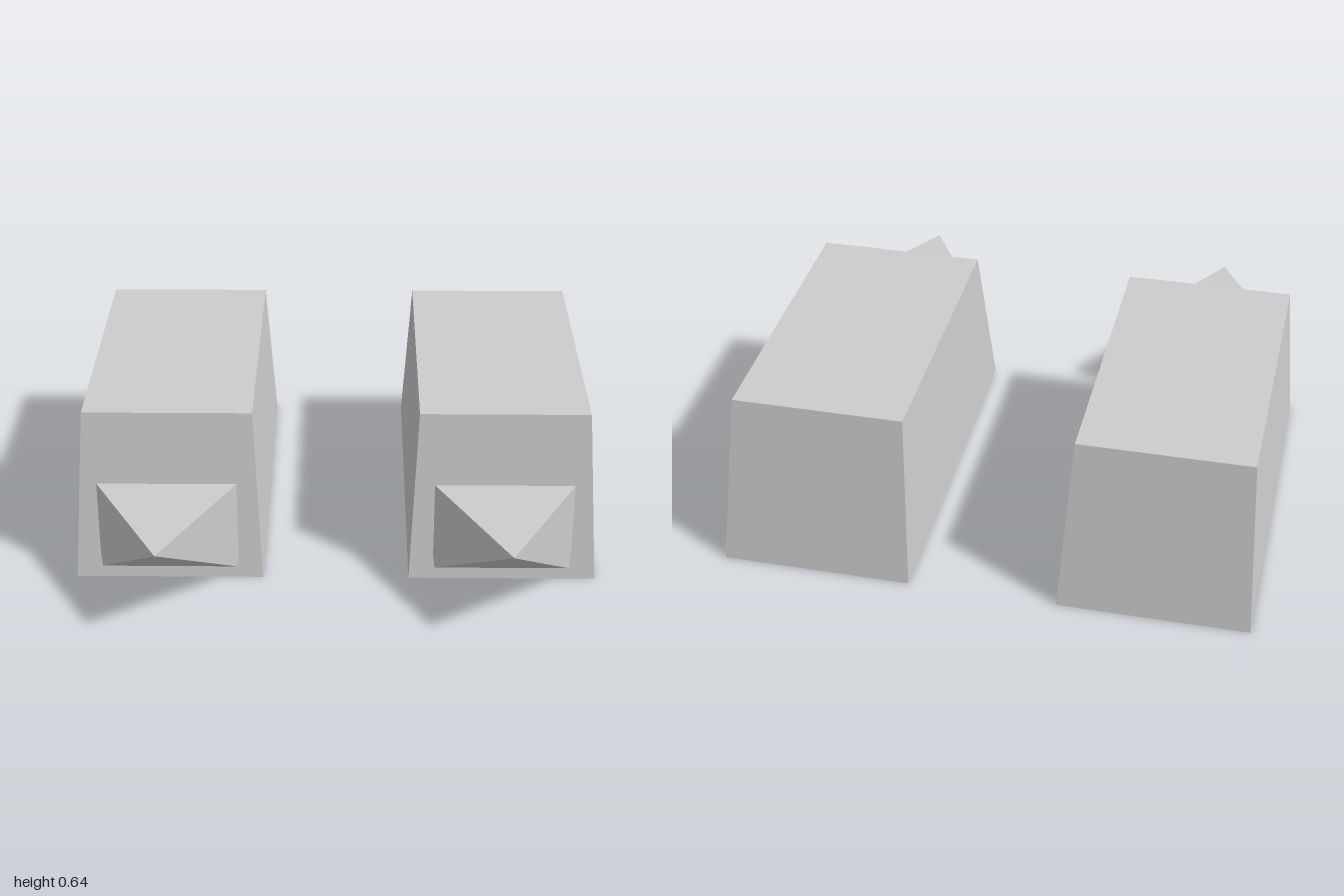
import * as THREE from 'three';

const grey = new THREE.MeshStandardMaterial({ color: 0xcccccc, flatShading: true });
grey.name = 'light grey';

// Move every vertex of a geometry by a rule, then facet it
function reshape(geometry, rule) {
  const pos = geometry.attributes.position;
  const v = new THREE.Vector3();
  for (let i = 0; i < pos.count; i++) {
    rule(v.fromBufferAttribute(pos, i));
    pos.setXYZ(i, v.x, v.y, v.z);
  }
  const faceted = geometry.toNonIndexed();
  faceted.computeVertexNormals();
  return faceted;
}

// Block that narrows towards its top, with steeper sides than ends
function bodyGeometry() {
  return reshape(new THREE.BoxGeometry(1, 1, 1), (v) => {
    const top = v.y > 0;
    const front = top ? 0.35 : 0.49;
    const back = top ? -0.804 : -0.946;
    v.set(v.x * (top ? 0.647 : 0.718), top ? 0.64 : 0, v.z > 0 ? front : back);
  });
}

// Four-sided spike with its tip pushed up near the upper edge
function spikeGeometry() {
  const cone = new THREE.ConeGeometry(Math.SQRT1_2, 1, 4, 1);
  cone.rotateY(Math.PI / 4).rotateX(Math.PI / 2);
  return reshape(cone, (v) => {
    const t = v.z + 0.5; // 0 at the base, 1 at the tip
    v.set(v.x * 0.53, 0.217 + v.y * 0.367 + t * 0.158, 0.47 + t * 0.475);
  });
}

export function createModel() {
  const model = new THREE.Group();
  model.name = 'pairOfSpikedBlocks';
  const body = bodyGeometry();
  const spike = spikeGeometry();

  // One block and spike on each side
  for (const [side, sign] of [['left', 1], ['right', -1]]) {
    const unit = new THREE.Group();
    unit.name = side + 'Unit';
    unit.position.x = sign * 0.64;
    for (const [part, geometry] of [['Body', body], ['Spike', spike]]) {
      const mesh = new THREE.Mesh(geometry, grey);
      mesh.name = side + part;
      unit.add(mesh);
    }
    model.add(unit);
  }
  return model;
}
